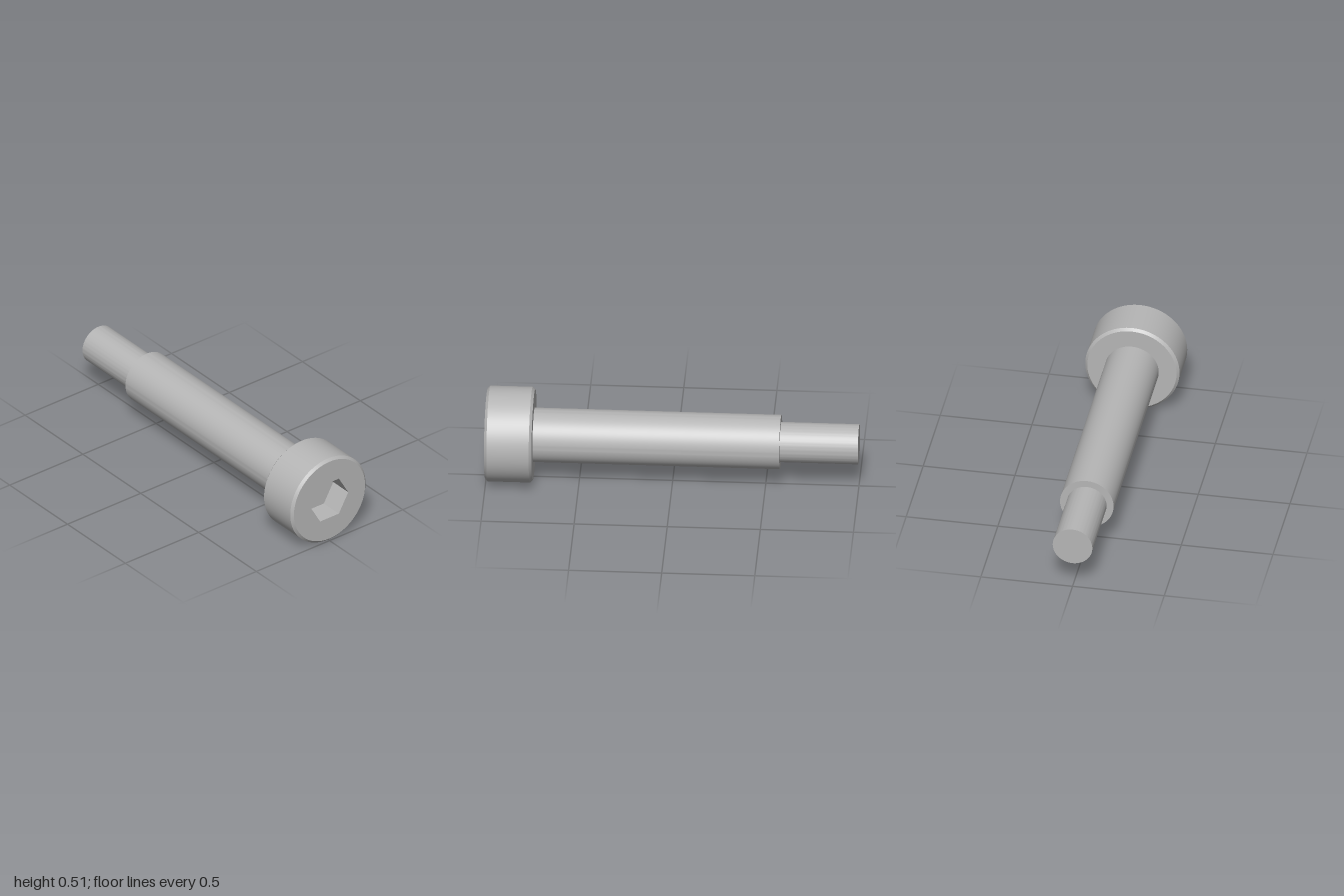
import * as THREE from 'three';
import { toCreasedNormals } from 'three/addons/utils/BufferGeometryUtils.js';

const SEGMENTS = 96;
const HEAD_R = 0.257, SHOULDER_R = 0.146, END_R = 0.108, SOCKET_R = 0.128;
const CHAMFER = 0.014;
const FRONT = 1, HEAD_BACK = 0.745, SHOULDER_BACK = -0.58, BACK = -1, SOCKET_FLOOR = 0.87;

export function createModel() {
  const steel = new THREE.MeshStandardMaterial({ color: 0xb6b6b6 });
  steel.name = 'steel grey';

  const model = new THREE.Group();
  model.name = 'shoulderScrew';

  function add(name, geometry) {
    const mesh = new THREE.Mesh(geometry, steel);
    mesh.name = name;
    mesh.position.y = HEAD_R;
    model.add(mesh);
  }

  // Turns a [radius, z] profile around the z axis, keeping edges sharp
  function turn(profile, segments = SEGMENTS, start = 0) {
    const points = profile.map(([r, z]) => new THREE.Vector2(r, z));
    const geometry = new THREE.LatheGeometry(points, segments, start);
    geometry.rotateX(Math.PI / 2);
    return toCreasedNormals(geometry, 0.5);
  }

  // Narrow end, closed at the back
  add('narrowEnd', turn([[0, BACK], [END_R, BACK], [END_R, SHOULDER_BACK]]));

  // Long shoulder with its step
  add('shoulder', turn([[END_R, SHOULDER_BACK], [SHOULDER_R, SHOULDER_BACK], [SHOULDER_R, HEAD_BACK]]));

  // Head side with a chamfer on both rims
  add('head', turn([
    [SHOULDER_R, HEAD_BACK],
    [HEAD_R - CHAMFER, HEAD_BACK],
    [HEAD_R, HEAD_BACK + CHAMFER],
    [HEAD_R, FRONT - CHAMFER],
    [HEAD_R - CHAMFER, FRONT],
  ]));

  // Flat head face with a hexagonal opening
  const face = new THREE.Shape().absarc(0, 0, HEAD_R - CHAMFER, 0, Math.PI * 2);
  const corners = Array.from({ length: 6 }, (_, i) => new THREE.Vector2(
    SOCKET_R * Math.cos(i * Math.PI / 3), SOCKET_R * Math.sin(i * Math.PI / 3)));
  face.holes.push(new THREE.Path(corners));
  add('headFace', new THREE.ShapeGeometry(face, SEGMENTS).translate(0, 0, FRONT));

  // Socket walls and floor, facing inwards
  add('hexSocket', turn([[SOCKET_R, FRONT], [SOCKET_R, SOCKET_FLOOR], [0, SOCKET_FLOOR]], 6, Math.PI / 2));

  return model;
}
